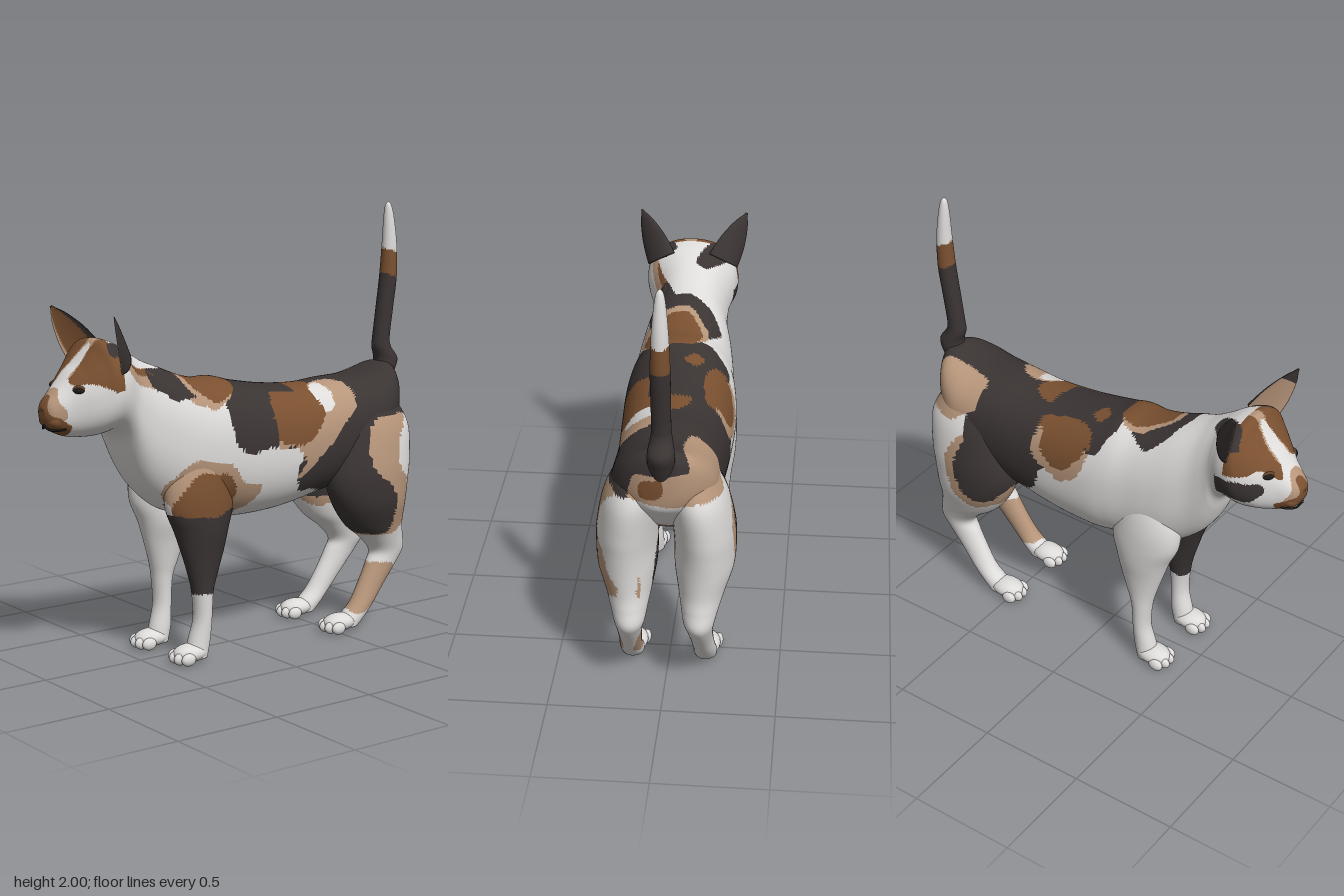
import * as THREE from 'three';

const mat = (name, color) => Object.assign(new THREE.MeshStandardMaterial({ color }), { name });
const WHITE = 0, DARK = 1, BROWN = 2, TAN = 3;
const materials = [
  mat('white fur', 0xdedcda), mat('dark fur', 0x3a3433), mat('brown fur', 0x7a5030), mat('tan fur', 0xb6957a),
];
const eyeMat = mat('eye black', 0x1f1a18), noseMat = mat('nose brown', 0x62402a);

// ---- coat patches: closed smooth outlines drawn on a side, top or front plane; later ones lie on top
const X = 0, Y = 1, Z = 2;
const patches = [];
function patch(color, u, v, test, pts) {
  const curve = new THREE.CatmullRomCurve3(pts.map(([a, b]) => new THREE.Vector3(a, b, 0)), true);
  patches.push({ color, u, v, test, poly: curve.getPoints(pts.length * 5) });
}
const left = (color, pts, min = 0.03) => patch(color, Z, Y, (x) => x > min, pts);
const right = (color, pts) => patch(color, Z, Y, (x) => x < 0.03, pts);
const top = (color, pts, min = 1.12) => patch(color, X, Z, (x, y) => y > min, pts);
const face = (color, pts, min = 0.71) => patch(color, X, Y, (x, y, z) => z > min, pts);
const rear = (color, pts) => patch(color, X, Y, (x, y, z) => z < -0.85, pts);

// left thigh, saddle and loin
left(TAN, [[-.6, .8], [-.6, 1], [-.72, 1.04], [-.88, 1.01], [-.8, .92], [-.79, .8], [-.85, .7], [-.88, .58], [-.87, .5], [-.75, .46], [-.62, .46]], 0.1);
left(DARK, [[.15, 1.32], [.16, 1.12], [.13, .97], [.02, .94], [-.1, .95], [-.24, .9], [-.21, .8], [-.25, .73], [-.4, .7], [-.46, .64], [-.5, .55], [-.6, .47], [-.72, .46],
  [-.77, .55], [-.75, .66], [-.63, .8], [-.62, .95], [-.7, 1.02], [-.9, 1.02], [-1.05, 1.05], [-1.05, 1.35], [-.4, 1.35]]);
left(TAN, [[-.2, 1.05], [-.08, .96], [-.2, .93], [-.26, .87], [-.21, .79], [-.35, .87], [-.47, .98], [-.58, 1.1], [-.58, 1.18], [-.35, 1.18]], 0.08);
left(BROWN, [[-.1, 1.16], [-.1, .98], [-.2, .94], [-.3, .97], [-.38, 1.05], [-.39, 1.16], [-.3, 1.18]], 0.12);
left(WHITE, [[-.38, 1.18], [-.4, 1.08], [-.46, 1.1], [-.47, 1.18]], 0.06);
// left shoulder and foreleg
left(TAN, [[.46, .82], [.4, .9], [.28, .93], [.16, .9], [.1, .82], [0, .78], [.02, .7], [.12, .66], [.4, .68]], 0.1);
left(BROWN, [[.43, .76], [.36, .85], [.27, .87], [.16, .84], [.12, .72], [.14, .64], [.42, .66]], 0.08);
left(DARK, [[.47, .69], [.3, .67], [.1, .68], [.08, .5], [.1, .32], [.25, .32], [.42, .32], [.46, .5]], 0.05);
left(TAN, [[-.57, .1], [-.67, .09], [-.82, .28], [-.69, .31]], 0.1);
// right flank and thigh
right(TAN, [[-.35, .78], [-.5, .6], [-.62, .56], [-.74, .64], [-.76, .85], [-.6, 1]]);
right(DARK, [[.1, 1.33], [.05, 1.12], [-.05, 1.1], [-.1, .98], [-.25, .92], [-.3, .8], [-.42, .72], [-.5, .66], [-.55, .61], [-.66, .63], [-.72, .75], [-.68, .9],
  [-.68, 1.05], [-.75, 1.13], [-.92, 1.1], [-1.05, 1.12], [-1.05, 1.35], [-.4, 1.35]]);
right(TAN, [[0, 1.1], [-.05, .95], [-.2, .93], [-.3, 1.02], [-.28, 1.14], [-.1, 1.14]]);
right(BROWN, [[-.02, 1.12], [-.08, 1], [-.19, .98], [-.26, 1.05], [-.26, 1.15], [-.1, 1.16]]);
// neck
const nape = (x, y, z) => x > Math.max(.03, (z - .3) * .45);
patch(TAN, Z, Y, nape, [[.7, 1.44], [.68, 1.36], [.55, 1.27], [.4, 1.22], [.3, 1.17], [.17, 1.2], [.12, 1.3], [.4, 1.42], [.6, 1.47]]);
patch(BROWN, Z, Y, nape, [[.66, 1.41], [.6, 1.34], [.45, 1.28], [.33, 1.22], [.2, 1.22], [.15, 1.3], [.4, 1.42], [.6, 1.46]]);
patch(DARK, Z, Y, nape, [[.62, 1.4], [.5, 1.32], [.38, 1.28], [.3, 1.3], [.4, 1.42], [.6, 1.47]]);
// back, seen from above
top(DARK, [[-.16, .3], [-.12, .18], [0, .08], [.15, .12], [.17, .3], [.16, .5], [.12, .54], [.1, .45], [-.02, .42], [-.1, .38]]);
top(TAN, [[-.1, .12], [.02, .08], [.15, .1], [.19, .25], [.12, .35], [-.03, .34], [-.1, .24]]);
top(BROWN, [[-.07, .1], [.14, .09], [.17, .25], [.1, .32], [-.04, .3]]);
top(BROWN, [[-.11, -.02], [-.06, -.06], [-.02, -.01], [-.07, .03]]);
top(BROWN, [[-.26, -.28], [-.14, -.28], [-.13, -.1], [-.17, 0], [-.26, -.02]]);
top(BROWN, [[-.07, -.3], [-.05, -.4], [.1, -.42], [.2, -.36], [.22, -.12], [.14, -.12], [.12, -.28]]);
top(TAN, [[.03, -.5], [.1, -.58], [.2, -.56], [.22, -.4], [.06, -.4]]);
top(WHITE, [[.05, -.46], [.17, -.47], [.2, -.39], [.1, -.38]]);
top(TAN, [[-.1, -.9], [-.08, -.76], [-.13, -.63], [-.22, -.66], [-.24, -.8], [-.17, -.92]], .9);
// under the tail
rear(TAN, [[-.2, 1.14], [0, 1.15], [.12, 1.13], [.14, 1.03], [0, 1], [-.2, 1.02]]);
rear(BROWN, [[.01, 1.13], [.1, 1.1], [.08, 1.03], [0, 1.05]]);
// face
face(BROWN, [[-.26, 1.28], [-.14, 1.31], [-.07, 1.27], [-.03, 1.33], [.03, 1.34], [.08, 1.3], [.15, 1.31], [.25, 1.28], [.23, 1.44], [.12, 1.53], [-.12, 1.53], [-.23, 1.44]]);
face(TAN, [[-.03, 1.44], [-.01, 1.5], [.03, 1.49], [.03, 1.43], [.05, 1.33], [-.04, 1.33]]);
face(WHITE, [[-.01, 1.46], [.015, 1.46], [.035, 1.31], [-.03, 1.31]]);
face(DARK, [[-.22, 1.26], [-.15, 1.25], [-.13, 1.2], [-.16, 1.16], [-.22, 1.17]], .66);
face(TAN, [[-.08, 1.17], [-.06, 1.22], [-.02, 1.28], [.03, 1.28], [.06, 1.24], [.09, 1.16], [0, 1.12]], .86);
face(BROWN, [[-.1, 1.07], [-.08, 1.16], [-.04, 1.19], [-.02, 1.25], [.02, 1.25], [.04, 1.19], [.08, 1.16], [.1, 1.07], [0, 1.04]], .9);
// crown
top(DARK, [[-.27, .72], [-.09, .57], [-.03, .6], [-.06, .68], [-.2, .78]], 1.4);
top(DARK, [[.08, .66], [.2, .66], [.17, .75], [.1, .73]], 1.42);

function inside(poly, a, b) {
  let hit = false;
  for (let i = 0, j = poly.length - 1; i < poly.length; j = i++) {
    const p = poly[i], q = poly[j];
    if ((p.y > b) !== (q.y > b) && a < ((q.x - p.x) * (b - p.y)) / (q.y - p.y) + p.x) hit = !hit;
  }
  return hit;
}
function coat(p) {
  const c = [p.x, p.y, p.z];
  // slight waviness gives the patches a furry edge
  const w = [0, 1, 2].map((k) => c[k] + 0.006 * Math.sin(38 * c[(k + 1) % 3] + 23 * c[(k + 2) % 3]));
  for (let i = patches.length - 1; i >= 0; i--) {
    const t = patches[i];
    if (t.test(...c) && inside(t.poly, w[t.u], w[t.v])) return t.color;
  }
  return WHITE;
}

// smooth interpolation through a list of number rows
function along(keys, t) {
  const f = t * (keys.length - 1), i = Math.min(Math.floor(f), keys.length - 2), s = f - i;
  const k = (n) => keys[Math.max(0, Math.min(keys.length - 1, n))];
  return keys[i].map((_, c) => {
    const a = k(i - 1)[c], b = k(i)[c], d = k(i + 1)[c], e = k(i + 2)[c];
    return b + 0.5 * s * (d - a + s * (2 * a - 5 * b + 4 * d - e + s * (3 * (b - d) + e - a)));
  });
}

// closed smooth skin through cross-sections, with triangles grouped by coat colour
function loft(name, rows, cols, ring, paint = coat) {
  const pts = [], tris = [];
  for (let i = 0; i <= rows; i++)
    for (let j = 0; j < cols; j++) pts.push(ring(i / rows, (j / cols) * Math.PI * 2));
  const at = (i, j) => i * cols + (j % cols);
  for (let i = 0; i < rows; i++)
    for (let j = 0; j < cols; j++)
      tris.push([at(i, j), at(i, j + 1), at(i + 1, j)], [at(i, j + 1), at(i + 1, j + 1), at(i + 1, j)]);
  for (const [row, flip] of [[0, true], [rows, false]]) {
    const mid = new THREE.Vector3();
    for (let j = 0; j < cols; j++) mid.addScaledVector(pts[at(row, j)], 1 / cols);
    const m = pts.push(mid) - 1;
    for (let j = 0; j < cols; j++) tris.push(flip ? [m, at(row, j + 1), at(row, j)] : [m, at(row, j), at(row, j + 1)]);
  }
  let volume = 0;
  const n = new THREE.Vector3(), groups = materials.map(() => []);
  for (const [a, b, c] of tris) volume += pts[a].dot(n.crossVectors(pts[b], pts[c]));
  for (const [a, b, c] of tris) {
    const mid = pts[a].clone().add(pts[b]).add(pts[c]).divideScalar(3);
    groups[paint(mid, a)].push(a, ...(volume > 0 ? [b, c] : [c, b]));
  }
  const g = new THREE.BufferGeometry().setFromPoints(pts);
  g.setIndex(groups.flat());
  let start = 0;
  groups.forEach((list, i) => { if (list.length) g.addGroup(start, list.length, i); start += list.length; });
  g.computeVertexNormals();
  return Object.assign(new THREE.Mesh(g, materials), { name });
}
function ball(name, material, pos, scale, rotY = 0) {
  const m = new THREE.Mesh(new THREE.SphereGeometry(1, 20, 14), material);
  m.name = name; m.position.set(...pos); m.scale.set(...scale); m.rotation.y = rotY;
  return m;
}

// z, top, bottom, half width
const bodyKeys = [[-.945, 1.2, 1.08, .04], [-.93, 1.235, .98, .1], [-.88, 1.245, .92, .17], [-.8, 1.22, .84, .22], [-.7, 1.2, .76, .235],
  [-.55, 1.195, .69, .235], [-.4, 1.185, .655, .24], [-.2, 1.2, .62, .25], [0, 1.235, .612, .257], [.1, 1.262, .625, .25], [.2, 1.265, .64, .235],
  [.3, 1.29, .66, .225], [.4, 1.33, .69, .21], [.5, 1.37, .77, .185], [.56, 1.405, .85, .178], [.6, 1.43, .94, .178], [.63, 1.45, 1.03, .185],
  [.68, 1.475, 1.08, .207], [.74, 1.485, 1.073, .217], [.78, 1.44, 1.067, .2], [.83, 1.385, 1.067, .165], [.87, 1.352, 1.07, .13],
  [.91, 1.31, 1.08, .098], [.95, 1.27, 1.1, .075], [.98, 1.24, 1.125, .055], [.997, 1.21, 1.16, .025]];
// y, centre x, half x, centre z, half z
const foreKeys = [[1.02, .12, .06, .27, .08], [.9, .135, .085, .28, .14], [.8, .14, .1, .285, .165], [.7, .145, .1, .275, .17], [.6, .145, .095, .265, .135],
  [.5, .15, .075, .262, .105], [.4, .155, .06, .265, .072], [.32, .16, .052, .27, .05], [.2, .16, .048, .27, .042], [.1, .155, .05, .285, .052], [.02, .155, .052, .305, .055]];
const hindKeys = [[1.15, .09, .07, -.74, .1], [1.05, .12, .105, -.73, .17], [.95, .145, .125, -.725, .21], [.8, .165, .135, -.695, .23], [.7, .17, .135, -.685, .225],
  [.6, .168, .13, -.7, .198], [.5, .16, .105, -.735, .158], [.43, .155, .085, -.785, .118], [.36, .152, .068, -.82, .093], [.3, .155, .057, -.79, .088],
  [.2, .16, .05, -.72, .074], [.12, .165, .05, -.66, .066], [.06, .165, .053, -.6, .07], [.02, .165, .05, -.57, .055]];
// y, centre z, radius
const tailKeys = [[1.08, -.89, .035], [1.18, -.915, .055], [1.25, -.935, .058], [1.31, -.908, .047], [1.36, -.906, .042], [1.5, -.925, .042],
  [1.65, -.945, .042], [1.8, -.95, .036], [1.92, -.945, .026], [1.98, -.941, .016], [2, -.94, .002]];

export function createModel() {
  const cat = new THREE.Group();
  cat.name = 'cat';
  const round = (v) => Math.sign(v) * Math.abs(v) ** 0.88;
  cat.add(loft('bodyAndHead', 220, 112, (t, a) => {
    const [z, hi, lo, w] = along(bodyKeys, t);
    return new THREE.Vector3(w * round(Math.cos(a)), (hi + lo) / 2 + ((hi - lo) / 2) * round(Math.sin(a)), z);
  }));
  cat.add(loft('tail', 110, 28, (t, a) => {
    const [y, z, r] = along(tailKeys, t);
    return new THREE.Vector3(r * Math.cos(a), y, z + r * Math.sin(a));
  }, (p) => {
    const y = p.y - 0.4 * (p.z + 0.94);
    return y > 1.77 ? WHITE : y > 1.65 ? BROWN : DARK;
  }));

  for (const s of [1, -1]) {
    const side = s > 0 ? 'left' : 'right';
    for (const [part, keys, paw] of [['Foreleg', foreKeys, [.155, .335]], ['HindLeg', hindKeys, [.165, -.525]]]) {
      cat.add(loft(side + part, 100, 52, (t, a) => {
        const [y, x, rx, z, rz] = along(keys, t);
        return new THREE.Vector3(s * (x + rx * Math.cos(a)), y, z + rz * Math.sin(a));
      }));
      const foot = new THREE.Group();
      foot.name = side + part + 'Paw';
      foot.add(ball('pad', materials[WHITE], [s * paw[0], .045, paw[1]], [.064, .042, .085]));
      for (const [k, d] of [[-.053, 0], [-.019, .018], [.019, .018], [.053, 0]])
        foot.add(ball('toe', materials[WHITE], [s * (paw[0] + k), .03, paw[1] + .045 + d], [.021, .029, .037]));
      cat.add(foot);
    }

    // cupped ear, dark behind and lighter within
    const base = new THREE.Vector3(.145, 1.4, .685), tip = new THREE.Vector3(.25, 1.605, .79);
    const U = new THREE.Vector3(.65, -.5, .4).normalize();
    const V = U.clone().cross(tip.clone().sub(base)).normalize();
    cat.add(loft(side + 'Ear', 36, 40, (t, a) => {
      const w = along([[.088], [.083], [.074], [.058], [.036], [.006]], t)[0], d = .04 * (1 - t) + .005;
      const front = Math.sin(a) > 0 ? -0.35 : 1;
      const p = base.clone().lerp(tip, t).addScaledVector(U, w * Math.cos(a)).addScaledVector(V, d * front * Math.sin(a));
      p.x *= s;
      return p;
    }, (p, i) => {
      const t = Math.floor(i / 40) / 36, j = i % 40;
      if (j >= 20 || t > (s > 0 ? .72 : .95)) return DARK;
      if (s > 0) return TAN;
      return j > 14 ? DARK : j < 4 ? TAN : BROWN;
    }));

    const eye = new THREE.Group();
    eye.name = side + 'Eye';
    eye.add(ball('lid', noseMat, [s * .1, 1.284, .868], [.036, .022, .018], s * .75));
    eye.add(ball('eyeball', eyeMat, [s * .104, 1.284, .873], [.027, .016, .018], s * .75));
    cat.add(eye);
    cat.add(ball(side + 'MuzzlePuff', materials[BROWN], [s * .03, 1.15, .945], [.042, .036, .042]));
    // mouth line
    const lip = new THREE.CatmullRomCurve3([[0, 1.135, .99], [s * .025, 1.114, .977], [s * .055, 1.112, .948], [s * .072, 1.118, .92]].map((q) => new THREE.Vector3(...q)));
    cat.add(Object.assign(new THREE.Mesh(new THREE.TubeGeometry(lip, 16, .005, 6), eyeMat), { name: side + 'Lip' }));
  }
  cat.add(ball('nose', noseMat, [0, 1.2, .98], [.028, .02, .02]));
  return cat;
}
